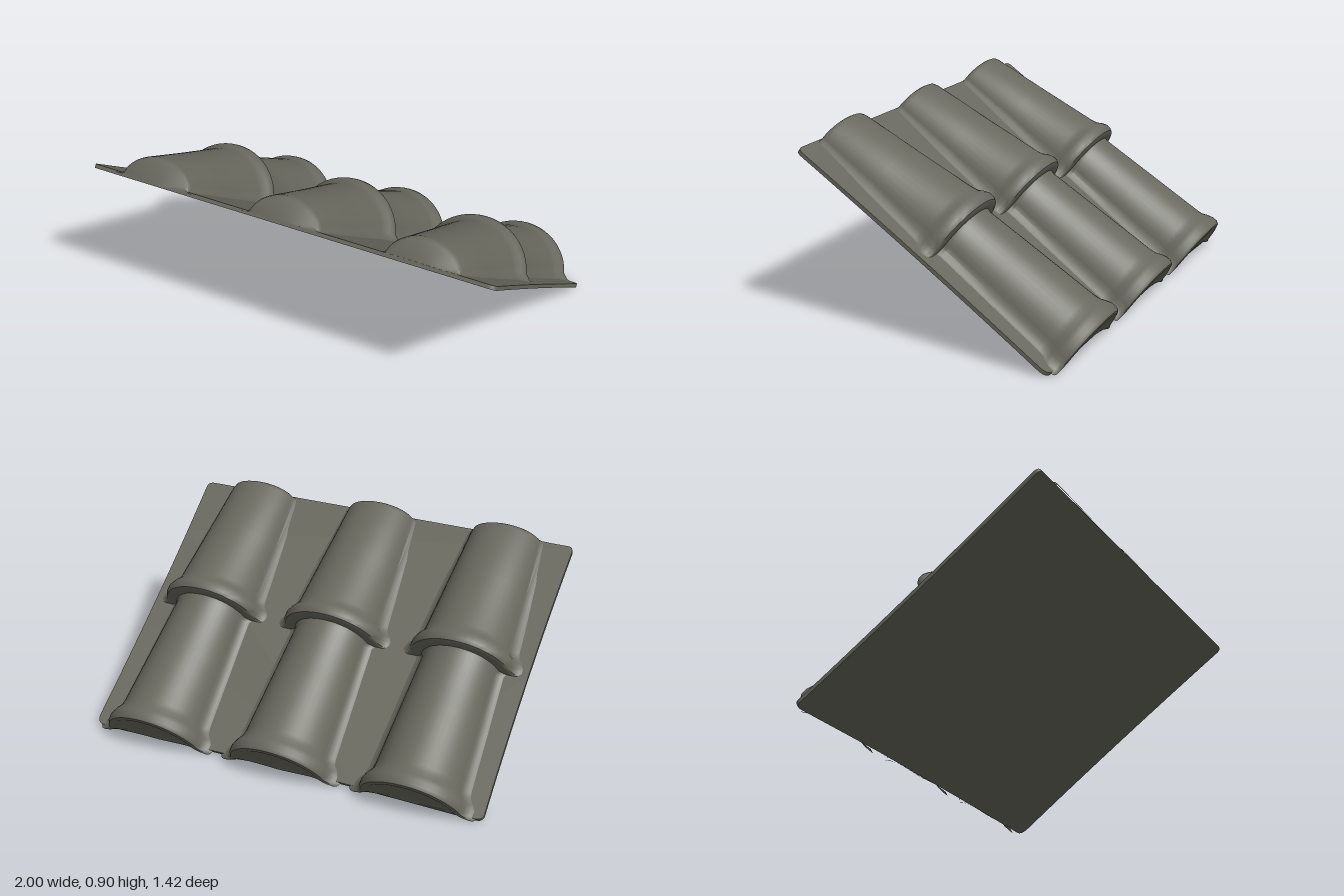
import * as THREE from 'three';
import { toCreasedNormals } from 'three/addons/utils/BufferGeometryUtils.js';

// Half-round cross-section with a small concave skirt blending into the sheet
function section(r, h) {
  const k = Math.min(0.05, r * 0.25);
  const right = [[r + k, 0.012], [r + k * 0.35, Math.min(0.022, h * 0.12)]];
  const pts = [...right];
  const n = 22, t0 = 0.2;
  for (let i = 0; i <= n; i++) {
    const t = t0 + (Math.PI - 2 * t0) * i / n;
    pts.push([r * Math.cos(t), h * Math.sin(t)]);
  }
  right.reverse().forEach(([x, y]) => pts.push([-x, y]));
  return pts;
}

// Skin a list of [z, radius, height] rows running downhill
function loft(rows) {
  const pos = [], index = [];
  let cols = 0;
  rows.forEach(([z, r, h]) => {
    const pts = section(r, h);
    cols = pts.length;
    pts.forEach(([x, y]) => pos.push(x, y, z));
  });
  for (let i = 0; i < rows.length - 1; i++) {
    for (let j = 0; j < cols - 1; j++) {
      const a = i * cols + j, b = a + cols;
      index.push(a, b, a + 1, b, b + 1, a + 1);
    }
  }
  const g = new THREE.BufferGeometry();
  g.setAttribute('position', new THREE.Float32BufferAttribute(pos, 3));
  g.setIndex(index);
  return toCreasedNormals(g, 0.75);
}

export function createModel() {
  const clay = new THREE.MeshStandardMaterial({ color: 0x68685e });
  clay.name = 'weathered clay';

  const model = new THREE.Group();
  model.name = 'roofTilePanel';
  const panel = new THREE.Group();
  panel.name = 'slopedPanel';
  panel.rotation.set(-0.603, -0.072, 0, 'YXZ');
  panel.position.set(0, 0.42, 0.05);
  model.add(panel);

  // Thin backing sheet with softly worn corners and edges
  const s = new THREE.Shape();
  s.moveTo(-0.94, -0.7);
  s.lineTo(0.93, -0.71);
  s.quadraticCurveTo(0.965, -0.71, 0.965, -0.68);
  s.quadraticCurveTo(0.945, 0, 0.965, 0.66);
  s.quadraticCurveTo(0.965, 0.7, 0.93, 0.705);
  s.lineTo(0.3, 0.7);
  s.lineTo(-0.36, 0.7);
  s.lineTo(-0.93, 0.71);
  s.quadraticCurveTo(-0.965, 0.71, -0.965, 0.68);
  s.quadraticCurveTo(-0.945, 0, -0.965, -0.67);
  s.quadraticCurveTo(-0.965, -0.7, -0.94, -0.7);
  const sheetGeo = new THREE.ExtrudeGeometry(s, { depth: 0.018, bevelEnabled: false, curveSegments: 10 });
  sheetGeo.rotateX(-Math.PI / 2);
  const sheet = new THREE.Mesh(sheetGeo, clay);
  sheet.name = 'backingSheet';
  panel.add(sheet);

  // Column of two overlapping tapered tiles, each ending in a rounded lip
  const column = loft([
    // high end cap and upper tile
    [0.705, 0.004, 0.003], [0.705, 0.158, 0.112], [0.698, 0.168, 0.122], [0.68, 0.173, 0.128],
    [0.4, 0.193, 0.168], [0.1, 0.214, 0.214],
    // middle lip
    [0.07, 0.222, 0.221], [0.05, 0.24, 0.234], [0.028, 0.252, 0.242], [0.008, 0.252, 0.242],
    [-0.008, 0.243, 0.234], [-0.014, 0.225, 0.215], [-0.014, 0.19, 0.188],
    // lower tile
    [-0.03, 0.182, 0.186], [-0.3, 0.195, 0.2], [-0.6, 0.21, 0.215],
    // bottom lip and slightly recessed low end cap
    [-0.63, 0.217, 0.218], [-0.655, 0.236, 0.228], [-0.68, 0.247, 0.235], [-0.705, 0.247, 0.235],
    [-0.72, 0.238, 0.226], [-0.724, 0.222, 0.21], [-0.712, 0.19, 0.178], [-0.705, 0.13, 0.12],
    [-0.705, 0.004, 0.003],
  ]);
  [-0.64, 0, 0.64].forEach((x, i) => {
    const mesh = new THREE.Mesh(column, clay);
    mesh.name = ['rightTileColumn', 'middleTileColumn', 'leftTileColumn'][i];
    mesh.position.x = x;
    panel.add(mesh);
  });

  return model;
}
